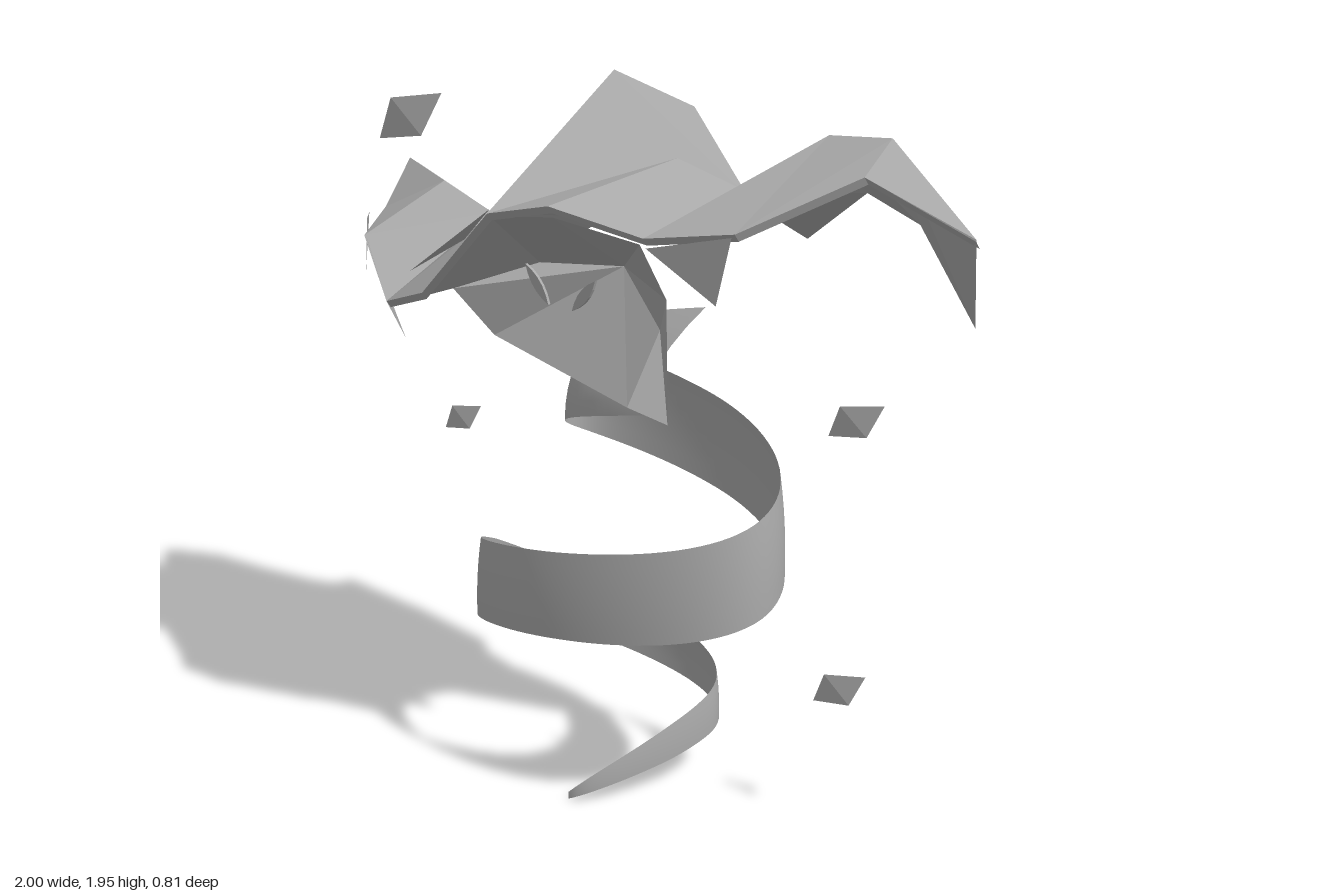
import * as THREE from 'three';

const grey = new THREE.MeshStandardMaterial({ color: 0xaaaaaa, side: THREE.DoubleSide });
grey.name = 'ash grey';

// Faceted mesh from corner points and polygon faces (fans)
function facets(name, points, faces) {
  const pos = [];
  for (const f of faces)
    for (let i = 1; i < f.length - 1; i++) pos.push(...points[f[0]], ...points[f[i]], ...points[f[i + 1]]);
  const g = new THREE.BufferGeometry();
  g.setAttribute('position', new THREE.Float32BufferAttribute(pos, 3));
  g.computeVertexNormals();
  const m = new THREE.Mesh(g, grey);
  m.name = name;
  return m;
}

// Strip of quads between two rows of points
function strip(name, a, b) {
  const n = a.length, faces = [];
  for (let i = 0; i < n - 1; i++) faces.push([i, i + 1, n + i + 1, n + i]);
  return facets(name, [...a, ...b], faces);
}

// Value easing along half cosine waves between successive extremes
function wave(extremes, q) {
  const i = Math.min(Math.floor(q / 2), extremes.length - 2), t = q / 2 - i;
  return THREE.MathUtils.lerp(extremes[i], extremes[i + 1], (1 - Math.cos(Math.PI * t)) / 2);
}

// Linear lookup in a row of values
function lookup(row, q) {
  const i = Math.min(Math.floor(q), row.length - 2);
  return THREE.MathUtils.lerp(row[i], row[i + 1], q - i);
}

// Widening ribbon that spirals upward two full turns, leaning slightly inward
function spiralRibbon() {
  const height = [0.01, 0.14, 0.27, 0.445, 0.6, 0.745, 0.92, 1.04, 1.19];
  const width = [0.02, 0.1, 0.15, 0.225, 0.24, 0.265, 0.27, 0.27, 0.26];
  const rise = new THREE.CatmullRomCurve3(height.map((y, i) => new THREE.Vector3(i, y, 0)));
  const pathX = (q) => wave([-0.17, 0.19, -0.495, 0.495, -0.31, 0.48], q + 1 - (q < 3 ? 0.35 * Math.sin(Math.PI * q / 3) : 0));
  const pathZ = (q) => wave([0.2, -0.28, 0.23, -0.29, -0.02], q);
  const steps = 160, across = 6, pos = [], index = [];
  for (let i = 0; i <= steps; i++) {
    const q = (i / steps) * 8, e = 0.02;
    const a = Math.max(0, q - e), b = Math.min(8, q + e);
    const out = new THREE.Vector2(pathZ(a) - pathZ(b), pathX(b) - pathX(a)).normalize();
    const y = rise.getPoint(q / 8).y, w = lookup(width, q);
    const curl = THREE.MathUtils.smoothstep(q, 6.5, 8);
    for (let j = 0; j <= across; j++) {
      const u = (j / across) * 2 - 1;
      const bow = w * (0.02 * (1 - u * u) - 0.03 * u);
      const tuck = curl * ((u + 1) / 2) ** 2;
      pos.push(pathX(q) + out.x * bow + 0.04 * tuck, Math.max(0, y + u * w / 2), pathZ(q) + out.y * bow - 0.18 * tuck);
      if (i < steps && j < across) {
        const p = i * (across + 1) + j, n = p + across + 1;
        index.push(p, n, p + 1, p + 1, n, n + 1);
      }
    }
  }
  const g = new THREE.BufferGeometry();
  g.setAttribute('position', new THREE.Float32BufferAttribute(pos, 3));
  g.setIndex(index);
  g.computeVertexNormals();
  const m = new THREE.Mesh(g, grey);
  m.name = 'spiralRibbon';
  return m;
}

export function createModel() {
  const model = new THREE.Group();
  model.name = 'hoodedSpirit';

  // Canopy: front rim, ridge and back hem, from right wing to left wing
  const front = [[-0.97, 1.43, -0.07], [-0.8, 1.42, 0.16], [-0.58, 1.3, 0.28], [-0.36, 1.38, 0.35], [-0.06, 1.65, 0.4],
    [0.14, 1.7, 0.39], [0.36, 1.64, 0.29], [0.57, 1.67, 0.2], [0.77, 1.8, -0.03], [1, 1.66, -0.165]];
  const ridge = [[-0.96, 1.56, -0.16], [-0.79, 1.525, -0.135], [-0.57, 1.475, -0.107], [-0.36, 1.61, -0.085], [-0.055, 1.945, -0.05],
    [0.15, 1.745, -0.065], [0.375, 1.685, -0.09], [0.59, 1.86, -0.12], [0.765, 1.875, -0.14], [1, 1.665, -0.165]];
  const back = [[-1, 1.32, -0.25], [-0.815, 1.31, -0.28], [-0.61, 1.28, -0.325], [-0.4, 1.44, -0.375], [-0.1, 1.79, -0.41],
    [0.1, 1.58, -0.4], [0.33, 1.51, -0.37], [0.565, 1.68, -0.31], [0.76, 1.64, -0.27], [0.95, 1.42, -0.25]];
  model.add(strip('canopyFront', front, ridge), strip('canopyBack', ridge, back));
  model.add(strip('canopyRim', front, front.map(([x, y, z]) => [x, y - 0.02, z - 0.015])));

  // Raised fold on the canopy
  model.add(facets('canopyFold', [[-0.54, 1.38, 0.23], [-0.06, 1.66, 0.39], [-0.31, 1.555, 0.18], [-0.41, 1.475, 0.15]], [[0, 1, 2, 3]]));

  // Ragged points hanging from the rim
  const teeth = [
    [[-0.96, 1.43, 0], [-0.925, 1.27, 0.05], [-0.82, 1.46, 0.13]],
    [[-0.78, 1.42, 0.17], [-0.635, 1.16, 0.165], [-0.58, 1.3, 0.28]],
    [[0.35, 1.61, 0.27], [0.505, 1.48, 0.19], [0.56, 1.66, 0.2]]];
  teeth.forEach((p, i) => model.add(facets('rimPoint' + (i + 1), p, [[0, 1, 2]])));

  // Backward-sloping face and the hood lining that joins it to the rim
  const head = [
    [-0.49, 1.32, 0.12],    // 0 right cheek
    [-0.385, 1.2, 0.07],    // 1 right jaw
    [0.155, 1.13, 0.125],   // 2 mouth corner
    [0.235, 1.085, 0.06],   // 3 chin
    [0.18, 1.32, 0.03],     // 4 left cheek
    [0.265, 1.43, 0.1],     // 5 left temple
    [-0.02, 1.435, -0.05],  // 6 brow
    [-0.3, 1.4, -0.02],     // 7 right temple
    [-0.36, 1.37, 0.34],    // 8 right rim
    [-0.06, 1.64, 0.39],    // 9 centre rim
    [0.14, 1.67, 0.375],    // 10 upper rim
    [0.34, 1.62, 0.28]];    // 11 left rim
  model.add(facets('face', head, [[6, 7, 0, 1], [6, 1, 2], [6, 2, 4], [6, 4, 5], [2, 3, 4], [3, 5, 4], [1, 3, 2]]));
  model.add(facets('hoodLining', head, [[6, 7, 9, 10, 11], [6, 11, 5], [7, 0, 8, 9]]));

  // Slanted leaf-shaped eyes floating before the face
  for (const side of [-1, 1]) {
    const leaf = new THREE.Shape();
    leaf.moveTo(0, -0.062);
    leaf.quadraticCurveTo(0.03, 0, 0, 0.062);
    leaf.quadraticCurveTo(-0.03, 0, 0, -0.062);
    const eye = new THREE.Mesh(new THREE.ExtrudeGeometry(leaf, { depth: 0.008, bevelEnabled: false, curveSegments: 5 }), grey);
    eye.position.set(-0.03 + side * 0.083, 1.415, 0.17);
    eye.rotation.z = -side * 0.72;
    eye.name = side < 0 ? 'rightEye' : 'leftEye';
    model.add(eye);
  }

  model.add(spiralRibbon());

  // Floating diamond shards: centre and scale
  const shards = [[-0.76, 1.735, 0.015, 1.45], [0.765, 1.195, -0.035, 1], [-0.675, 0.865, -0.08, 0.85], [0.63, 0.395, -0.175, 1]];
  shards.forEach(([x, y, z, s], i) => {
    const p = [[-0.045, 0.03, 0.008], [0.075, 0.052, -0.012], [0.042, -0.03, 0.012], [-0.075, -0.052, 0.012]];
    model.add(facets('shard' + (i + 1), p.map((c) => [x + c[0] * s, y + c[1] * s, z + c[2] * s]), [[0, 3, 2, 1]]));
  });

  return model;
}
